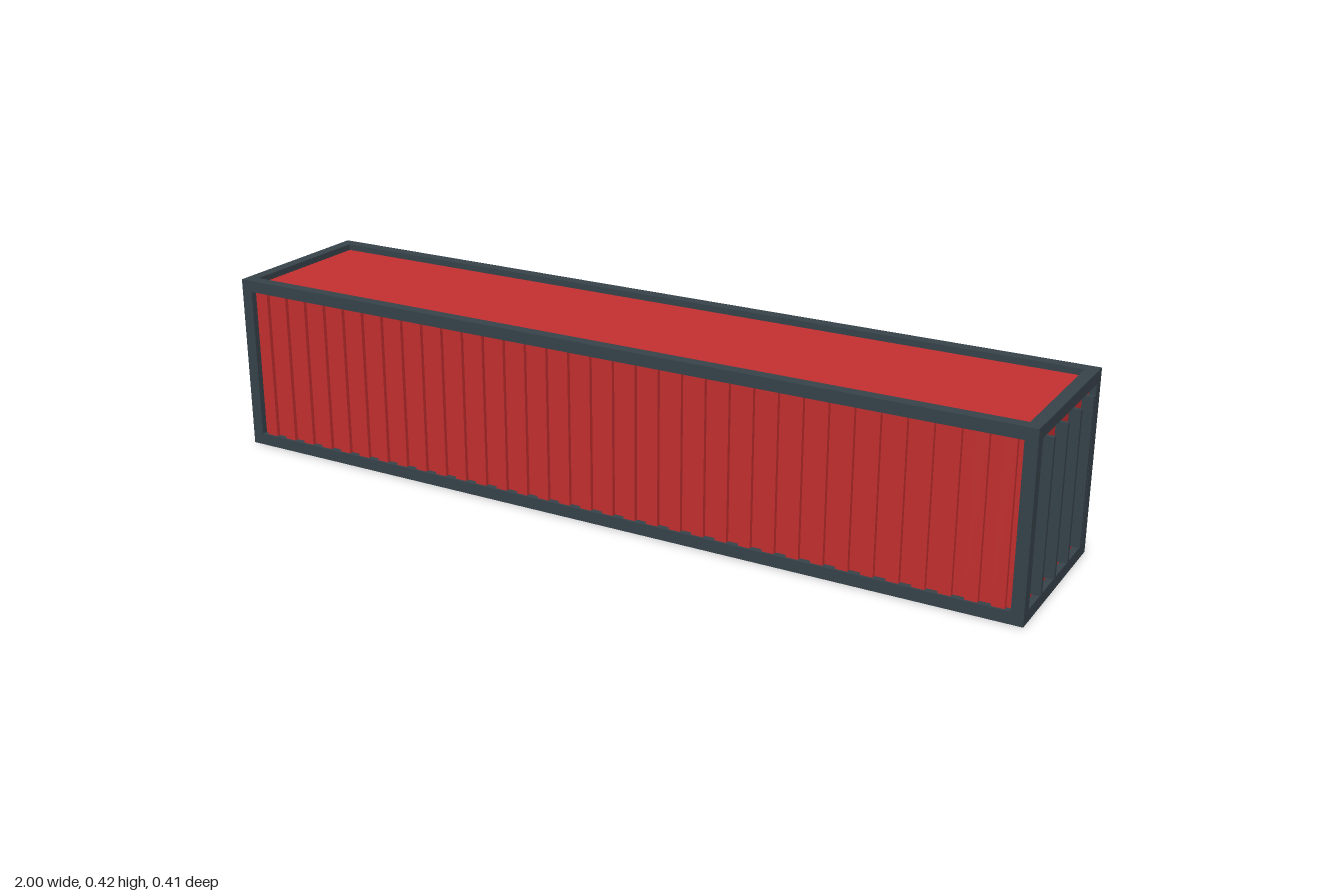
import * as THREE from 'three';

export function createModel() {
  const red = new THREE.MeshStandardMaterial({ color: 0xc63030 });
  red.name = 'red panel';
  const slate = new THREE.MeshStandardMaterial({ color: 0x37434b });
  slate.name = 'dark slate frame';

  const model = new THREE.Group();
  model.name = 'shippingContainer';

  // Box given by its two opposite corners
  function box(name, material, min, max, parent = model) {
    const size = max.map((v, i) => v - min[i]);
    const mesh = new THREE.Mesh(new THREE.BoxGeometry(...size), material);
    mesh.position.set(...max.map((v, i) => (v + min[i]) / 2));
    mesh.name = name;
    parent.add(mesh);
    return mesh;
  }

  const X0 = -1, X1 = 0.99, H = 0.424, Z = 0.203; // frame extents
  const T = 0.028;      // beam thickness
  const RECESS = 0.015; // panels sit inside the frame faces

  // Main body, recessed on every side
  box('body', red,
    [X0 + RECESS, RECESS, -Z + RECESS],
    [X1 - RECESS, H - RECESS, Z - RECESS]);

  // Frame: four posts, four long rails, four end rails
  const frame = new THREE.Group();
  frame.name = 'frame';
  model.add(frame);
  for (const x of [X0, X1 - T]) {
    for (const z of [-Z, Z - T]) {
      box('cornerPost', slate, [x, 0, z], [x + T, H, z + T], frame);
    }
    for (const y of [0, H - T]) {
      box('endRail', slate, [x, y, -Z + T], [x + T, y + T, Z - T], frame);
    }
  }
  for (const y of [0, H - T]) {
    for (const z of [-Z, Z - T]) {
      box('longRail', slate, [X0 + T, y, z], [X1 - T, y + T, z + T], frame);
    }
  }

  // Corrugated side walls: evenly spaced upright ribs
  const RIBS = 34, RIB_DEPTH = 0.01;
  const pitch = (X1 - X0 - 2 * T) / RIBS;
  for (const side of [-1, 1]) {
    const wall = new THREE.Group();
    wall.name = side > 0 ? 'frontRibs' : 'backRibs';
    model.add(wall);
    const inner = side * (Z - RECESS - 0.002);
    const outer = side * (Z - RECESS + RIB_DEPTH);
    for (let i = 0; i < RIBS; i++) {
      const x = X0 + T + (i + 0.25) * pitch;
      box('rib', red,
        [x, T, Math.min(inner, outer)],
        [x + pitch / 2, H - T, Math.max(inner, outer)], wall);
    }
  }

  // Upright locking bars on the door end
  const bars = new THREE.Group();
  bars.name = 'doorBars';
  model.add(bars);
  for (const z of [-0.13, -0.043, 0.043, 0.13]) {
    box('lockingBar', slate, [X1 - RECESS, 0.042, z - 0.005], [1, 0.385, z + 0.005], bars);
  }

  return model;
}
